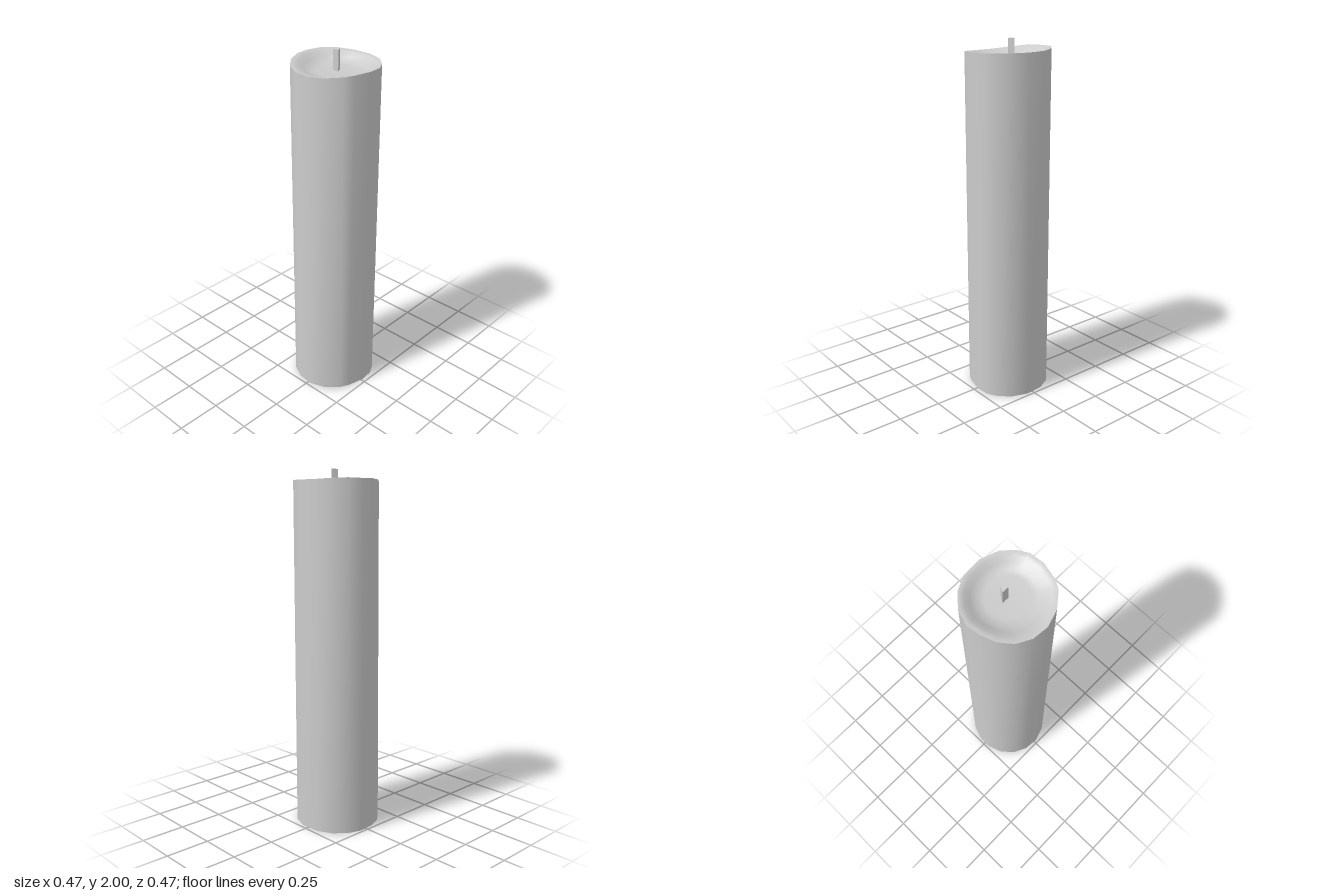
import * as THREE from 'three';

// Uneven outline, clockwise from the back seen from above: x, z, rim height
const OUTLINE = [
  [-0.04, -0.237, 1.95], [0.04, -0.237, 1.95], [0.12, -0.208, 1.953], [0.185, -0.148, 1.95],
  [0.225, -0.07, 1.945], [0.232, 0.04, 1.943], [0.2, 0.135, 1.942], [0.145, 0.195, 1.94],
  [0.09, 0.227, 1.938], [0.01, 0.235, 1.938], [-0.09, 0.212, 1.936], [-0.14, 0.185, 1.932],
  [-0.205, 0.11, 1.925], [-0.235, 0.02, 1.922], [-0.227, -0.07, 1.924], [-0.187, -0.15, 1.932],
  [-0.12, -0.208, 1.943],
];

const material = new THREE.MeshStandardMaterial({ color: 0xcccccc, side: THREE.DoubleSide });

// Skins a list of closed rings of Vector3 with smooth normals
function loft(rings) {
  const n = rings[0].length;
  const index = [];
  for (let j = 0; j < rings.length - 1; j++) {
    for (let i = 0; i < n; i++) {
      const a = j * n + i, b = j * n + (i + 1) % n;
      index.push(a, a + n, b, b, a + n, b + n);
    }
  }
  const geometry = new THREE.BufferGeometry().setFromPoints(rings.flat());
  geometry.setIndex(index);
  geometry.computeVertexNormals();
  return geometry;
}

function addPart(group, name, geometry, mat = material) {
  const mesh = new THREE.Mesh(geometry, mat);
  mesh.name = name;
  group.add(mesh);
  return mesh;
}

export function createModel() {
  const group = new THREE.Group();
  group.name = 'candle';

  // Wax wall: open at the bottom, leaning slightly toward +x and +z
  const bottom = OUTLINE.map(([x, z]) =>
    new THREE.Vector3(x, x < 0 ? 0.005 : 0, z > 0 ? z * 0.965 : z));
  const rim = OUTLINE.map(([x, z, y]) =>
    new THREE.Vector3(x < 0 ? x * 0.93 : x * 0.995, y, z < 0 ? z * (x < 0 ? 0.95 : 0.99) : z));
  addPart(group, 'waxBody', loft([bottom, rim]));

  // Melted top: rounded lip falling into a shallow off-centre pool
  const centre = new THREE.Vector3(0.035, 1.89, 0.02);
  const ring = (scale, melt) => rim.map((p) => {
    const q = centre.clone().lerp(p, scale);
    q.y = THREE.MathUtils.lerp(p.y, centre.y, melt);
    return q;
  });
  addPart(group, 'meltedTop', loft([
    rim, ring(0.95, 0.02), ring(0.87, 0.12), ring(0.76, 0.5),
    ring(0.63, 0.85), ring(0.48, 0.97), ring(0, 1),
  ]));

  // Three-sided wick
  const wickMaterial = new THREE.MeshStandardMaterial({ color: 0xcccccc, flatShading: true });
  const wick = addPart(group, 'wick', new THREE.CylinderGeometry(0.021, 0.021, 0.12, 3), wickMaterial);
  wick.rotation.y = Math.PI / 2;
  wick.position.set(0.029, 1.94, -0.007);

  return group;
}
